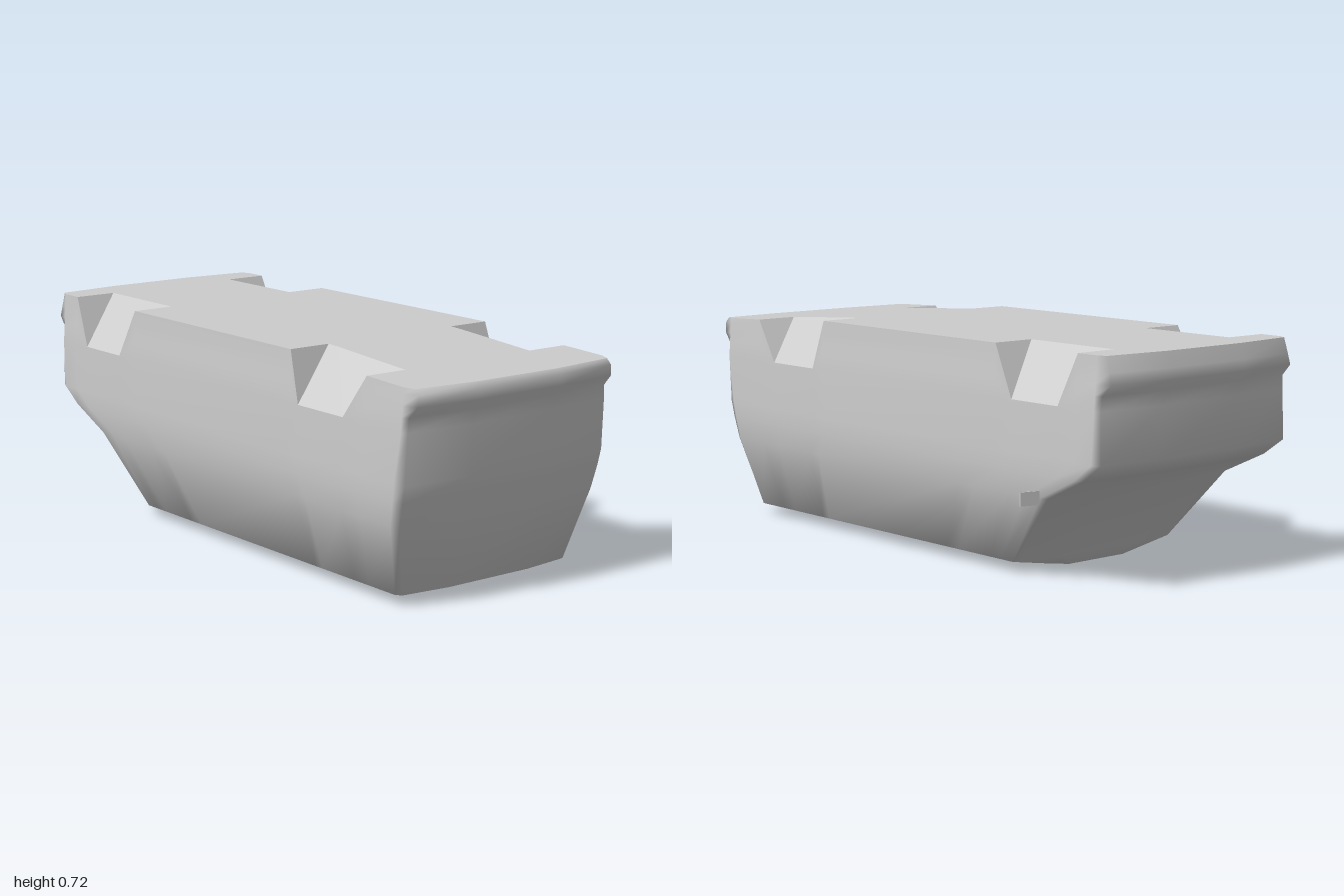
import * as THREE from 'three';
import { mergeVertices } from 'three/addons/utils/BufferGeometryUtils.js';

const CENTRE = -0.031;   // the body sits slightly off centre, beside its mirror
const NOTCH_Y = 0.56;    // depth reached by the wheel notches
const INNER = 0.25;      // half width of the floor between the notches

// Horizontal levels: height, half width, front z, back z
const LEVELS = [
  [0.003, 0.15, 0.75, -0.515],
  [0.038, 0.342, 0.868, -0.535],
  [0.27, 0.402, 0.925, -0.73],
  [0.345, 0.408, 0.945, -0.89],
  [0.4, 0.411, 0.957, -0.967],
  [0.56, 0.408, 0.966, -0.963],
  [0.605, 0.405, 0.968, -0.965],
  [0.64, 0.402, 1, -0.998],
  [0.675, 0.399, 1, -0.99],
  [null, 0.397, 0.985, -0.975],   // floor edge, height from floorY
];
// Stations along the side; dropped ones are the low corners of the notches
const STATIONS = [0.93, 0.76, 0.66, 0.44, 0.39, -0.48, -0.565, -0.77, -0.845, -0.925];
const DROPPED = [0.66, 0.44, -0.565, -0.77];

// The floor falls gently towards the front
function floorY(z) {
  if (z > 0.76) return 0.7 - (z - 0.76) * 0.04;
  if (z > 0.39) return 0.725 - (z - 0.39) * 0.0676;
  return 0.724;
}

// Points of one level on the +x side, from front to back
function halfRing([y, w, f, b]) {
  const height = (z) => (y === null ? floorY(z) : y);
  const endX = Math.min(0.16, w * 0.8);
  const point = (x, z) => [x, height(z), z];
  const side = STATIONS.map((s) => {
    const high = y === null || y >= NOTCH_Y;
    const z = high ? s : b + ((s + 0.975) / 1.96) * (f - b);
    if (high && DROPPED.includes(s)) return [0.408, NOTCH_Y, z];
    return point(w, z);
  });
  return [point(endX, f), point(w - 0.014, f - 0.02), ...side,
    point(w - 0.014, b + 0.022), point(endX, b)];
}

const mirror = ([x, y, z]) => [-x, y, z];

function geometryFrom(points, index) {
  const g = new THREE.BufferGeometry();
  g.setAttribute('position', new THREE.Float32BufferAttribute(points.flat(), 3));
  g.setIndex(index);
  return g;
}

// Smooth outer shell: rings joined from roof to floor edge
function shellGeometry() {
  const rings = LEVELS.map((l) => {
    const half = halfRing(l);
    return [...half, ...half.map(mirror).reverse()];
  });
  const n = rings[0].length;
  const index = [];
  for (let r = 0; r < rings.length - 1; r++) {
    for (let i = 0; i < n; i++) {
      const j = (i + 1) % n;
      const a = r * n + i, b = r * n + j, c = a + n, d = b + n;
      index.push(a, b, d, a, d, c);
    }
  }
  // Roof cap
  for (let i = 0; i < n / 2 - 1; i++) {
    const a = i, b = i + 1, c = n - 1 - i, d = n - 2 - i;
    index.push(a, c, b, b, c, d);
  }
  const g = mergeVertices(geometryFrom(rings.flat(), index));
  g.computeVertexNormals();
  return g;
}

// Flat floor with sloping wheel notches cut into both edges
function floorGeometry() {
  const points = [];
  const index = [];
  const edges = halfRing(LEVELS[LEVELS.length - 1]);
  for (const e of edges) {
    const inner = [Math.min(INNER, e[0]), floorY(e[2]), e[2]];
    points.push(e, inner, mirror(inner), mirror(e));
  }
  for (let i = 0; i < edges.length - 1; i++) {
    const a = i * 4, b = a + 4;
    const falling = edges[i + 1][1] < edges[i][1] - 0.05;
    // +x strip, middle strip, -x strip
    if (falling) {
      index.push(a, b, a + 1, a + 1, b, b + 1);
      index.push(a + 3, a + 2, b + 3, a + 2, b + 2, b + 3);
    } else {
      index.push(a, b, b + 1, a, b + 1, a + 1);
      index.push(a + 3, b + 2, b + 3, a + 3, a + 2, b + 2);
    }
    index.push(a + 1, b + 1, b + 2, a + 1, b + 2, a + 2);
  }
  const g = geometryFrom(points, index).toNonIndexed();
  g.computeVertexNormals();
  return g;
}

export function createModel() {
  const group = new THREE.Group();
  group.name = 'overturnedVanBody';
  const grey = new THREE.MeshStandardMaterial({ color: 0xcccccc, side: THREE.DoubleSide });
  grey.name = 'plain grey';

  const add = (name, geometry, x = 0, y = 0, z = 0) => {
    const mesh = new THREE.Mesh(geometry, grey);
    mesh.name = name;
    mesh.position.set(x, y, z);
    group.add(mesh);
    return mesh;
  };

  add('bodyShell', shellGeometry(), CENTRE);
  add('floorWithWheelNotches', floorGeometry(), CENTRE);

  // Small wing mirror on the left side
  const wing = add('wingMirror', new THREE.BoxGeometry(0.065, 0.043, 0.004), 0.407, 0.274, -0.682);
  wing.rotation.y = -0.25;

  return group;
}
